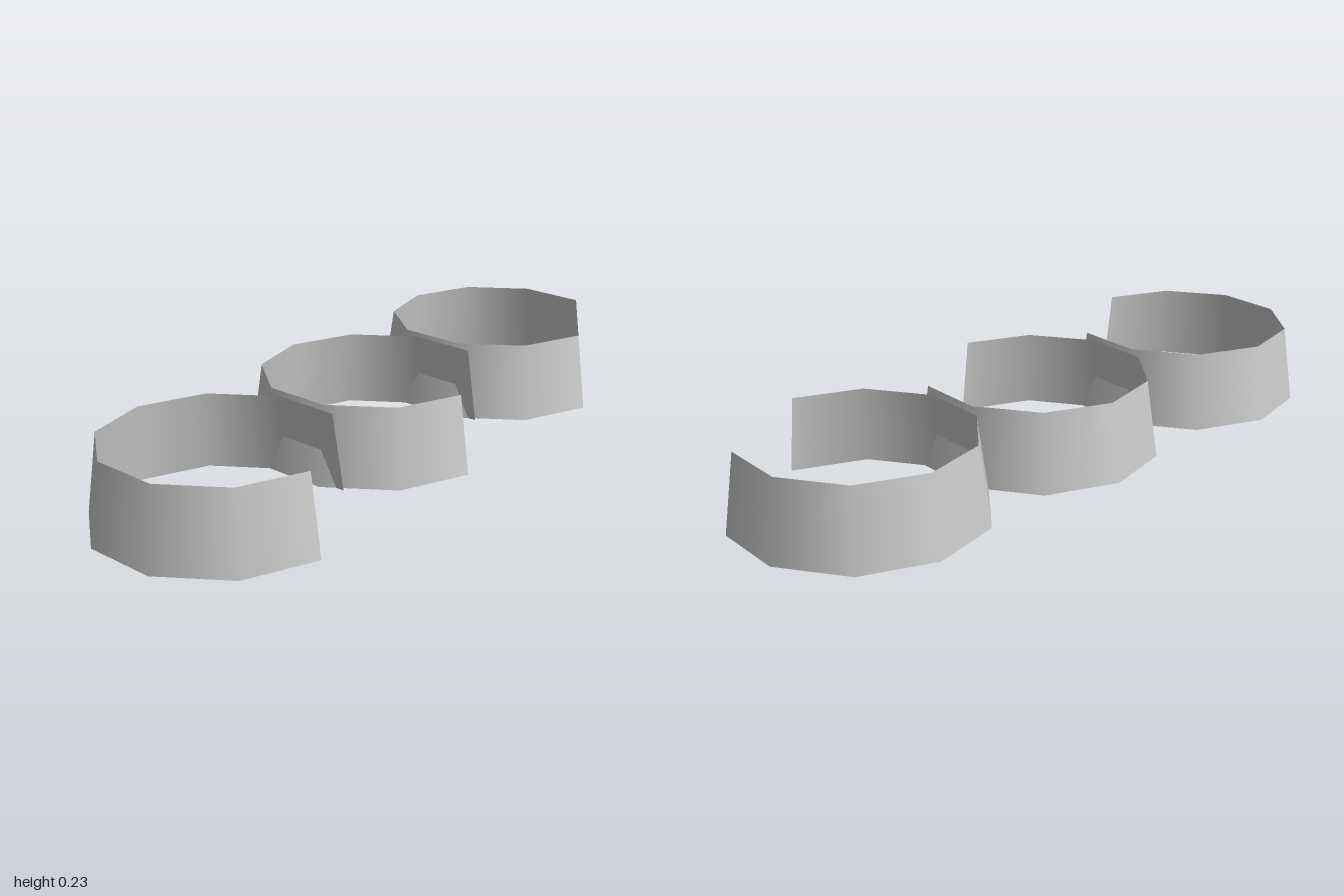
import * as THREE from 'three';

const HEIGHT = 0.23;
const TOP_RADIUS = 0.328;
const BOTTOM_RADIUS = 0.36;
const STEP = THREE.MathUtils.degToRad(36);

export function createModel() {
  const group = new THREE.Group();
  group.name = 'openRings';
  const grey = new THREE.MeshStandardMaterial({ color: 0xcccccc, side: THREE.DoubleSide });
  grey.name = 'light grey';

  // Tapered ten-sided wall with two sides left open
  const wall = new THREE.CylinderGeometry(
    TOP_RADIUS, BOTTOM_RADIUS, HEIGHT, 8, 1, true, 4.5 * STEP, 8 * STEP);
  wall.translate(0, HEIGHT / 2, 0);

  // Three rings in a slightly staggered row, back to front
  ['backRing', 'middleRing', 'frontRing'].forEach((name, i) => {
    const ring = new THREE.Mesh(wall, grey);
    ring.name = name;
    ring.position.set((i - 1) * 0.066, 0, (i - 1) * 0.657);
    group.add(ring);
  });
  return group;
}
